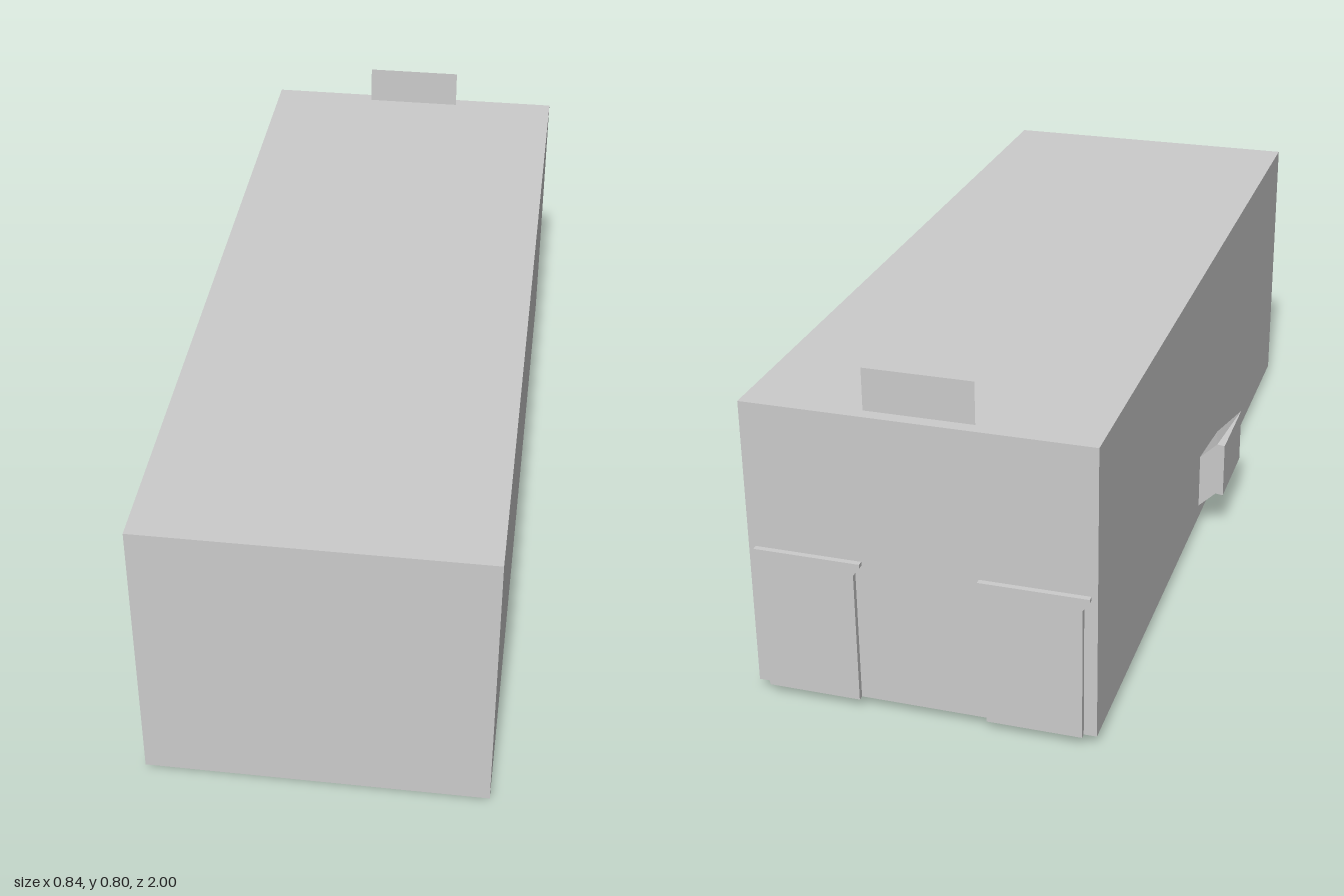
import * as THREE from 'three';

const material = new THREE.MeshStandardMaterial({ color: 0xcccccc, flatShading: true });
const thinMaterial = new THREE.MeshStandardMaterial({ color: 0xcccccc, flatShading: true, side: THREE.DoubleSide });

// Box given by its lower and upper limits on each axis
function block(name, [x0, x1], [y0, y1], [z0, z1]) {
  const mesh = new THREE.Mesh(new THREE.BoxGeometry(x1 - x0, y1 - y0, z1 - z0), material);
  mesh.position.set((x0 + x1) / 2, (y0 + y1) / 2, (z0 + z1) / 2);
  mesh.name = name;
  return mesh;
}

// Door panel with a top that flares out to a wider lintel
function door(name, x) {
  const outline = [[0.106, 0], [0.106, 0.312], [0.121, 0.332], [0.121, 0.341]];
  const mirrored = outline.map(([px, py]) => [-px, py]).reverse();
  const shape = new THREE.Shape([...outline, ...mirrored].map(([px, py]) => new THREE.Vector2(px, py)));
  const mesh = new THREE.Mesh(
    new THREE.ExtrudeGeometry(shape, { depth: 0.013, bevelEnabled: false }), material);
  mesh.position.set(x, 0.025, -1);
  mesh.name = name;
  return mesh;
}

// Slanted hatch: upright outer face, joined to the wall by sloping sides
function sideHatch() {
  const back = [[-0.42, 0.247], [-0.40, 0.247], [-0.355, 0.2], [-0.355, 0.06], [-0.40, 0.107], [-0.42, 0.107]];
  const front = [[-0.42, 0.247], [-0.42, 0.247], [-0.355, 0.17], [-0.355, 0.03], [-0.42, 0.107], [-0.42, 0.107]];
  const place = (section, z) => section.map(([x, y]) => [x, y, z + (x + 0.42) * 0.23]);
  const a = place(back, -0.01), b = place(front, 0.205);
  const points = [];
  const quad = (p, q, r, s) => points.push(...p, ...q, ...r, ...p, ...r, ...s);
  for (let i = 0; i < 6; i++) {
    const j = (i + 1) % 6;
    quad(a[i], a[j], b[j], b[i]);
  }
  // End walls
  quad(a[0], a[5], a[4], a[1]);
  quad(a[1], a[4], a[3], a[2]);
  quad(b[0], b[2], b[3], b[5]);
  const geometry = new THREE.BufferGeometry();
  geometry.setAttribute('position', new THREE.Float32BufferAttribute(points, 3));
  geometry.computeVertexNormals();
  const mesh = new THREE.Mesh(geometry, thinMaterial);
  mesh.name = 'sideHatch';
  return mesh;
}

export function createModel() {
  const model = new THREE.Group();
  model.name = 'longBuilding';

  // Main body
  model.add(block('body', [-0.355, 0.42], [0.025, 0.707], [-0.987, 1]));

  // Thin upright board on the roof
  const board = new THREE.Mesh(new THREE.PlaneGeometry(0.243, 0.096), thinMaterial);
  board.position.set(0.033, 0.755, -0.957);
  board.name = 'roofBoard';
  model.add(board);

  // Pair of doors on the back wall
  model.add(door('leftDoor', 0.283), door('rightDoor', -0.22));

  model.add(sideHatch());

  // Low plates and pegs under the floor
  model.add(
    block('floorBlock', [-0.102, 0.13], [0, 0.025], [0.47, 0.59]),
    block('leftFloorPlate', [0.293, 0.39], [0.018, 0.025], [0.1, 0.43]),
    block('middleFloorPlate', [-0.085, 0.1], [0.018, 0.025], [-0.07, 0.02]),
    block('rightFloorPlate', [-0.345, -0.32], [0.02, 0.025], [-0.07, 0.2]),
    block('leftPeg', [0.325, 0.337], [0.015, 0.025], [0.495, 0.507]),
  );
  for (const z of [0.22, 0.44]) {
    model.add(block('rightPeg', [-0.354, -0.342], [0.015, 0.025], [z - 0.006, z + 0.006]));
  }
  return model;
}
